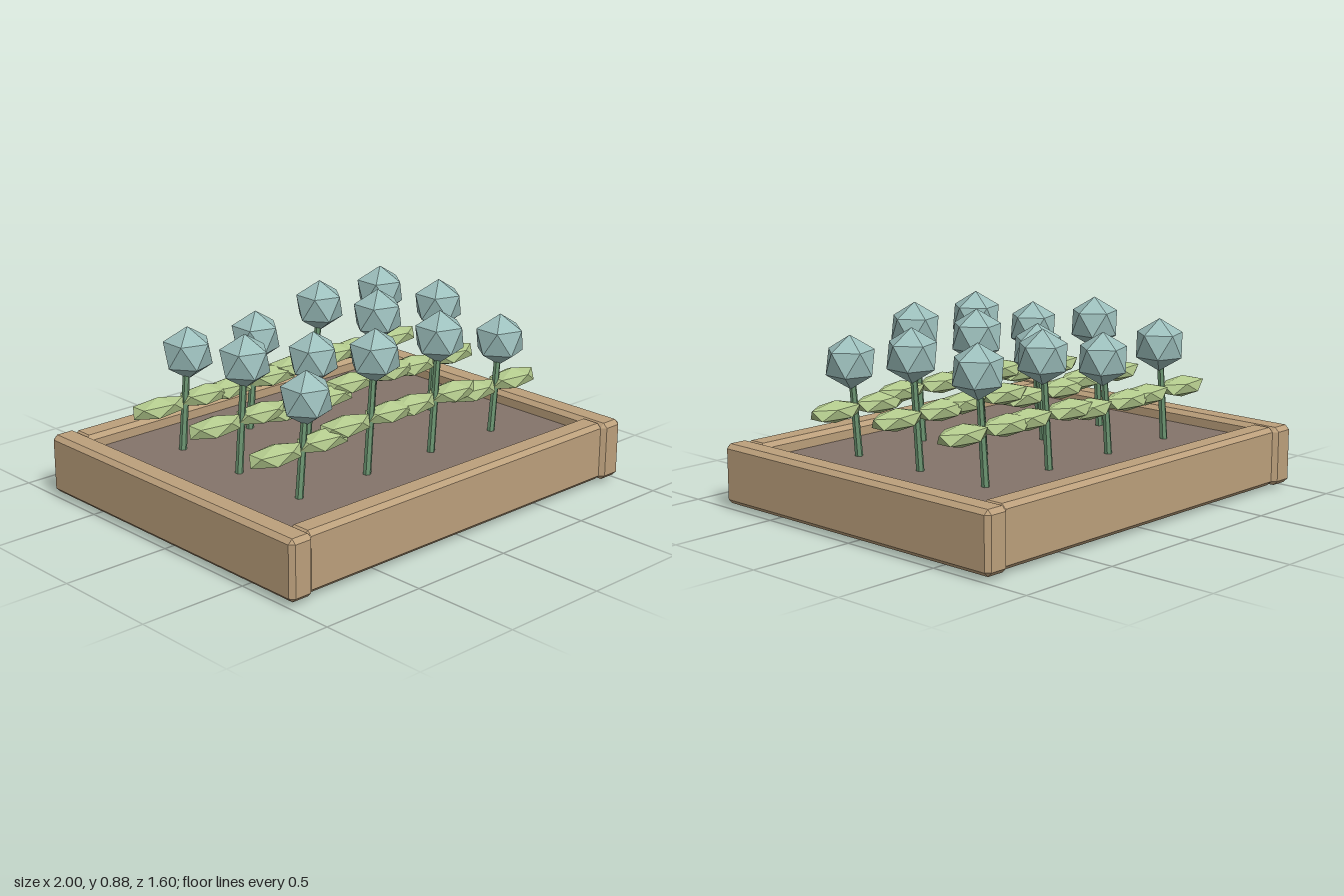
import * as THREE from 'three';
import { ConvexGeometry } from 'three/addons/geometries/ConvexGeometry.js';

const mat = (name, color) => {
  const m = new THREE.MeshStandardMaterial({ color, flatShading: true });
  m.name = name;
  return m;
};

// Box with chamfered edges, centred on the origin
function chamferBox(w, h, d, b) {
  const pts = [];
  for (const sx of [-1, 1]) for (const sy of [-1, 1]) for (const sz of [-1, 1]) {
    const x = w / 2, y = h / 2, z = d / 2;
    pts.push(new THREE.Vector3(sx * x, sy * (y - b), sz * (z - b)));
    pts.push(new THREE.Vector3(sx * (x - b), sy * y, sz * (z - b)));
    pts.push(new THREE.Vector3(sx * (x - b), sy * (y - b), sz * z));
  }
  return new ConvexGeometry(pts);
}

// Icosahedron standing on a vertex, scaled along each axis
function blob(a, b, c) {
  const g = new THREE.IcosahedronGeometry(1, 0);
  g.rotateZ(-Math.atan(1 / ((1 + Math.sqrt(5)) / 2)));
  g.scale(a, b, c);
  g.computeVertexNormals();
  return g;
}

export function createModel() {
  const model = new THREE.Group();
  model.name = 'planterBed';
  const wood = mat('wood', 0xbca07c);
  const soilMat = mat('soil', 0x84746a);
  const stemMat = mat('stemGreen', 0x6c9672);
  const leafMat = mat('leafGreen', 0xb2c98c);
  const headMat = mat('blueGreen', 0x9dc0bd);

  const add = (parent, name, geo, material, x, y, z) => {
    const m = new THREE.Mesh(geo, material);
    m.name = name;
    m.position.set(x, y, z);
    parent.add(m);
    return m;
  };

  // Soil and wooden frame
  add(model, 'soil', chamferBox(1.81, 0.23, 1.38, 0.018), soilMat, 0, 0.115, 0);
  const sideBoard = chamferBox(0.12, 0.27, 1.6, 0.02);
  const endBoard = chamferBox(1.8, 0.27, 0.12, 0.02);
  for (const s of [-1, 1]) {
    add(model, s > 0 ? 'leftBoard' : 'rightBoard', sideBoard, wood, s * 0.94, 0.155, 0);
    add(model, s > 0 ? 'frontBoard' : 'backBoard', endBoard, wood, 0, 0.155, s * 0.72);
  }

  // Rows of plants, back to front, by the height of the head
  const rows = [
    [0.67, 0.66, 0.725, 0.72],
    [0.725, 0.652, 0.765, 0.735],
    [0.66, 0.755, 0.752, 0.655],
  ];
  const headGeo = blob(0.12, 0.12, 0.12);
  const leafGeo = blob(0.15, 0.05, 0.073);
  const soilTop = 0.22, lean = 0.04;
  rows.forEach((heights, r) => heights.forEach((top, c) => {
    const plant = new THREE.Group();
    plant.name = 'plant';
    plant.position.set((c - 1.5) * 0.39, 0, (r - 1) * 0.385);
    model.add(plant);

    // Leaning stem
    const h = top - soilTop;
    const stem = add(plant, 'stem', new THREE.CylinderGeometry(0.015, 0.018, h, 6),
      stemMat, lean / 2 - 0.003, soilTop + h / 2, 0);
    stem.rotation.z = -Math.atan(lean / h);

    // Pair of leaves and the head
    const leafY = 0.45 + (top - 0.655) * 0.3;
    for (const s of [-1, 1]) add(plant, 'leaf', leafGeo, leafMat, s * 0.13, leafY, 0);
    add(plant, 'head', headGeo, headMat, lean, top, 0);
  }));
  return model;
}
